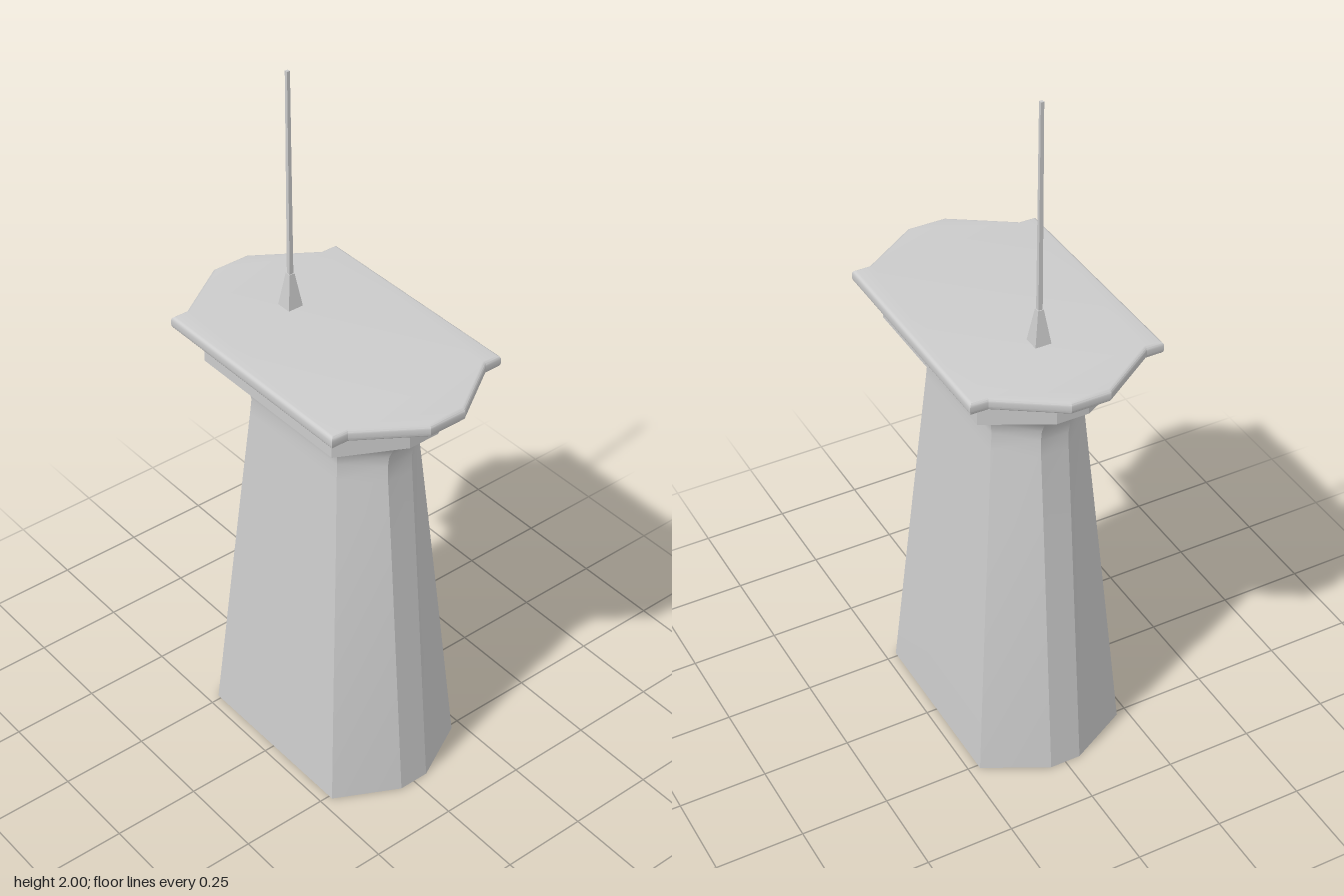
import * as THREE from 'three';
import { toCreasedNormals } from 'three/addons/utils/BufferGeometryUtils.js';

const material = new THREE.MeshStandardMaterial({ color: 0xcccccc });

function add(group, name, geometry) {
  const mesh = new THREE.Mesh(geometry, material);
  mesh.name = name;
  group.add(mesh);
  return mesh;
}

// Eight-sided plan: wide front and back, tapered ends cut off flat.
function ring([y, endX, cornerX, halfZ, endZ]) {
  return [
    [endX, endZ], [endX, -endZ], [cornerX, -halfZ], [-cornerX, -halfZ],
    [-endX, -endZ], [-endX, endZ], [-cornerX, halfZ], [cornerX, halfZ],
  ].map(([x, z]) => new THREE.Vector3(x, y, z));
}

// Joins the plans into a closed solid.
function loft(sections) {
  const rings = sections.map(ring);
  const positions = [];
  const tri = (...points) => points.forEach((p) => positions.push(p.x, p.y, p.z));
  for (let i = 0; i < rings.length - 1; i++) {
    for (let j = 0; j < 8; j++) {
      const k = (j + 1) % 8;
      const a = rings[i][j], b = rings[i][k], c = rings[i + 1][k], d = rings[i + 1][j];
      tri(a, b, c);
      tri(a, c, d);
    }
  }
  const bottom = rings[0], top = rings[rings.length - 1];
  for (let j = 1; j < 7; j++) {
    tri(bottom[0], bottom[j + 1], bottom[j]);
    tri(top[0], top[j], top[j + 1]);
  }
  const geometry = new THREE.BufferGeometry();
  geometry.setAttribute('position', new THREE.Float32BufferAttribute(positions, 3));
  return toCreasedNormals(geometry, 0.45);
}

export function createModel() {
  const model = new THREE.Group();
  model.name = 'pier';

  // Tapered shaft, flaring out to a straight-sided head: y, endX, cornerX, halfZ, endZ
  add(model, 'shaft', loft([
    [0, 0.353, 0.262, 0.219, 0.045],
    [0.4, 0.32, 0.231, 0.188, 0.043],
    [0.8, 0.287, 0.2, 0.156, 0.041],
    [1.03, 0.267, 0.181, 0.138, 0.04],
    [1.08, 0.265, 0.178, 0.134, 0.04],
    [1.115, 0.271, 0.184, 0.139, 0.041],
    [1.145, 0.287, 0.199, 0.156, 0.042],
    [1.195, 0.353, 0.262, 0.219, 0.045],
    [1.29, 0.353, 0.262, 0.219, 0.045],
  ]));

  // Overhanging deck slab with rounded edges
  const bevel = 0.012;
  const half = [[0.43, -0.052], [0.43, 0.052], [0.319, 0.219], [0.319, 0.262]];
  const outline = [
    ...half,
    ...half.slice(2).reverse().map(([x, z]) => [-x, z]),
    [-0.43, 0.052], [-0.43, -0.052],
    [-0.319, -0.219], [-0.319, -0.262], [0.319, -0.262], [0.319, -0.219],
  ].map(([x, z]) => new THREE.Vector2(x, z));
  const slab = new THREE.ExtrudeGeometry(new THREE.Shape(outline), {
    depth: 0.012, bevelThickness: bevel, bevelSize: bevel - 0.002, bevelSegments: 4,
  });
  slab.rotateX(-Math.PI / 2);
  slab.translate(0, 1.284 + bevel, 0);
  add(model, 'deckSlab', toCreasedNormals(slab, 0.5));

  // Mast: square tapered foot and a slim rod
  const mast = new THREE.Group();
  mast.name = 'mast';
  mast.position.x = -0.179;
  model.add(mast);
  const square = (topHalf, bottomHalf, height, y) => {
    const g = new THREE.CylinderGeometry(topHalf * Math.SQRT2, bottomHalf * Math.SQRT2, height, 4);
    g.rotateY(Math.PI / 4);
    g.translate(0, y + height / 2, 0);
    return toCreasedNormals(g, 0.5);
  };
  add(mast, 'mastFoot', square(0.008, 0.023, 0.1, 1.318));
  add(mast, 'mastRod', square(0.0045, 0.006, 0.59, 1.41));

  return model;
}
